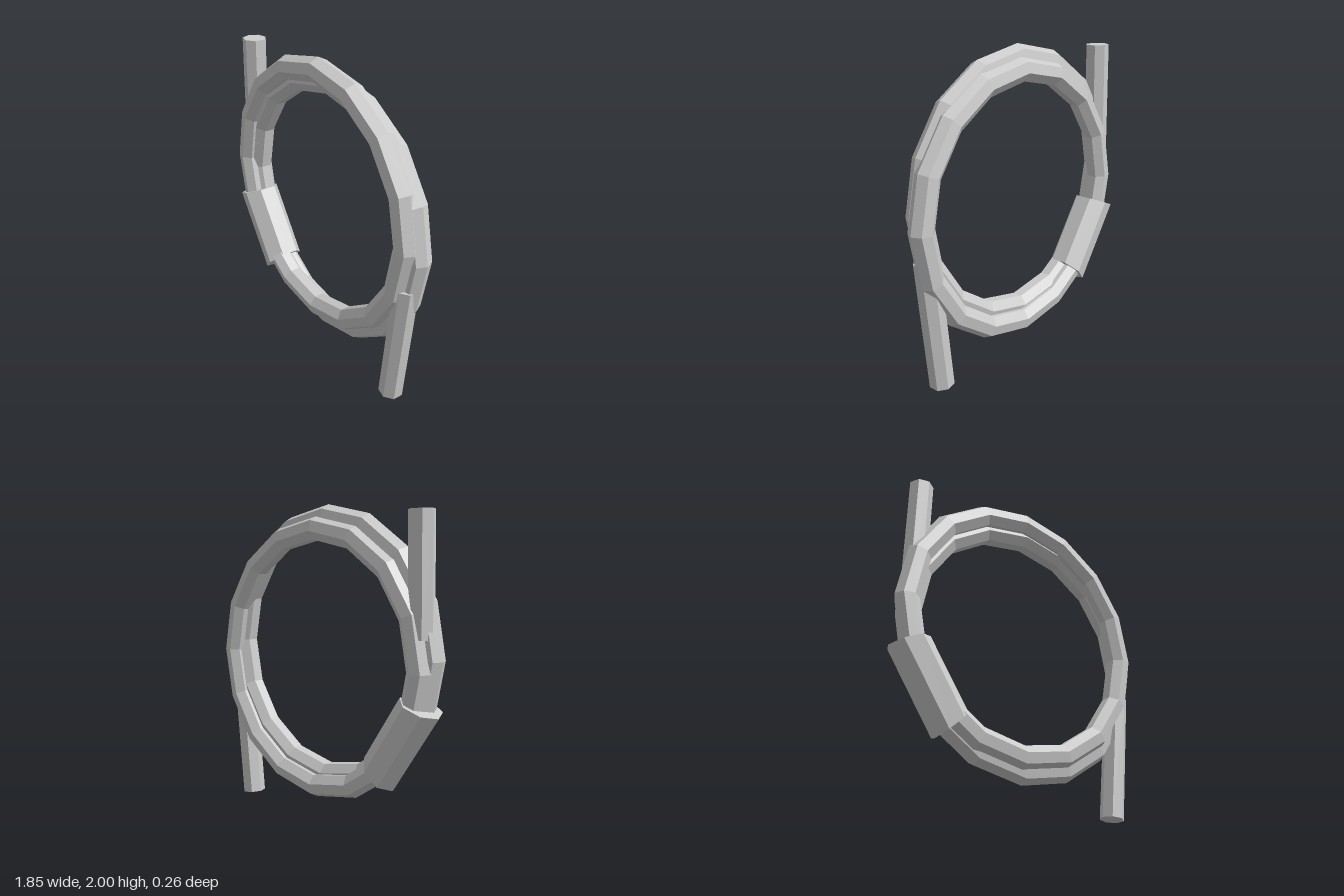
import * as THREE from 'three';

const SIDES = 7;      // heptagonal cross-section of the cord
const CORD = 0.078;   // cord radius
const material = new THREE.MeshStandardMaterial({ color: 0xcccccc, flatShading: true });

function addMesh(group, name, geometry) {
  const mesh = new THREE.Mesh(geometry, material);
  mesh.name = name;
  group.add(mesh);
  return mesh;
}

// Straight seven-sided bar along y with one corner pointing to -x
function bar(radius, length) {
  return new THREE.CylinderGeometry(radius, radius, length, SIDES, 1, false, -Math.PI / 2);
}

// Place a bar between two points in the xy plane
function addStrand(group, name, from, to) {
  const dir = to.clone().sub(from);
  const mesh = addMesh(group, name, bar(CORD, dir.length()));
  mesh.position.copy(from).add(to).multiplyScalar(0.5);
  mesh.rotation.z = Math.atan2(-dir.x, dir.y);
}

export function createModel() {
  const group = new THREE.Group();
  group.name = 'cordCoil';

  // Two overlapping turns of cord, slightly offset from each other
  for (const [name, x, y, z] of [['frontLoop', -0.02, 1.1, 0.032], ['backLoop', 0.02, 1.03, -0.028]]) {
    addMesh(group, name, new THREE.TorusGeometry(0.825, CORD, SIDES, 16)).position.set(x, y, z);
  }

  // Loose ends running into the coil
  addStrand(group, 'upperEnd', new THREE.Vector3(-0.795, 1.22, -0.005), new THREE.Vector3(-0.783, 1.94, -0.005));
  addStrand(group, 'lowerEnd', new THREE.Vector3(0.707, 0.007, 0), new THREE.Vector3(0.795, 0.84, 0));

  // Clasp: thicker sleeve whose ends are mitred towards the coil centre
  const sleeve = bar(0.132, 0.535);
  const p = sleeve.attributes.position;
  for (let i = 0; i < p.count; i++) {
    p.setY(i, p.getY(i) - Math.sign(p.getY(i)) * p.getX(i) * Math.tan(Math.PI / 16));
  }
  sleeve.computeVertexNormals();
  const clasp = addMesh(group, 'claspSleeve', sleeve);
  clasp.position.set(-0.65, 0.612, 0);
  clasp.rotation.z = THREE.MathUtils.degToRad(33.6);

  return group;
}
